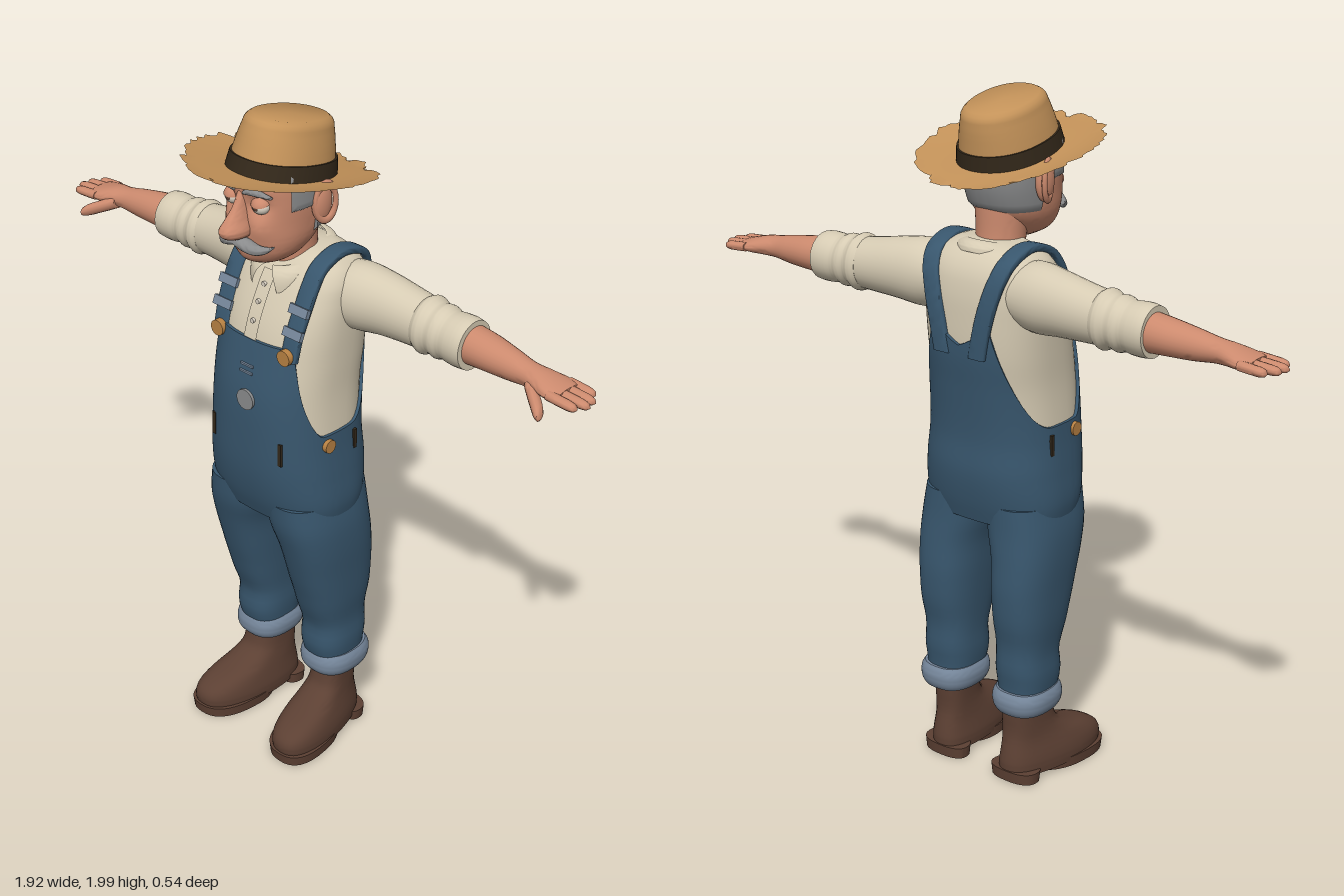
import * as THREE from 'three';
import { mergeVertices, toCreasedNormals } from 'three/addons/utils/BufferGeometryUtils.js';

const { lerp, clamp } = THREE.MathUtils;
const TAU = Math.PI * 2;
const V = (x, y, z) => new THREE.Vector3(x, y, z);
const spow = (v, e) => Math.sign(v) * Math.abs(v) ** e;
const mat = (name, color, side = THREE.FrontSide) => {
  const m = new THREE.MeshStandardMaterial({ color, side });
  m.name = name;
  return m;
};

// Smooth lookup in rows keyed on their first column
function table(rows) {
  const n = rows[0].length - 1;
  const it = new THREE.CubicInterpolant(rows.map(r => r[0]), rows.flatMap(r => r.slice(1)), n, new Float32Array(n));
  const lo = rows[0][0], hi = rows[rows.length - 1][0];
  return { lo, hi, at: s => Array.from(it.evaluate(clamp(s, lo, hi))) };
}

// Grid surface: f(u, j) gives a point, u runs 0..1 and j counts rows
function surf(nu, nv, f, warp) {
  const pos = [], idx = [];
  for (let j = 0; j <= nv; j++) for (let i = 0; i <= nu; i++) {
    const p = f(i / nu, j);
    if (warp) warp(p);
    pos.push(p.x, p.y, p.z);
  }
  for (let j = 0; j < nv; j++) for (let i = 0; i < nu; i++) {
    const a = j * (nu + 1) + i, b = a + 1, c = b + nu + 1, d = a + nu + 1;
    idx.push(a, b, c, a, c, d);
  }
  const g = new THREE.BufferGeometry();
  g.setAttribute('position', new THREE.Float32BufferAttribute(pos, 3));
  g.setIndex(idx);
  return toCreasedNormals(g, 0.9);
}

// Point on an upright body; rows are [y, xCentre, xRadius, zFront, zBack]
function ring(tb, y, a, off = 0, e = 0.8, k = 1) {
  const [xc, rx, zf, zb] = tb.at(y);
  return V(xc + k * (rx + off) * spow(Math.sin(a), e), y,
    (zf + zb) / 2 + k * ((zf - zb) / 2 + off) * spow(Math.cos(a), e));
}
function upright(rows, { seg = 40, n = 24, e = 0.8, warp } = {}) {
  const tb = table(rows);
  return surf(seg, n + 2, (u, j) => ring(tb, lerp(tb.lo, tb.hi, clamp((j - 1) / n, 0, 1)),
    u * TAU, 0, e, j === 0 || j === n + 2 ? 0 : 1), warp);
}
// Body along x; rows are [x, yCentre, yRadius, zCentre, zRadius]
function sideways(rows, { seg = 24, n = 16 } = {}) {
  const tb = table(rows);
  return surf(seg, n + 2, (u, j) => {
    const x = lerp(tb.lo, tb.hi, clamp((j - 1) / n, 0, 1));
    const [yc, ry, zc, rz] = tb.at(x), k = j === 0 || j === n + 2 ? 0 : 1, a = u * TAU;
    return V(x, yc - k * ry * Math.sin(a), zc + k * rz * Math.cos(a));
  });
}
// Copy on the other side of x = 0, with the corner order turned round
function mirrored(geo) {
  const g = geo.index ? geo.clone() : mergeVertices(geo.clone());
  g.scale(-1, 1, 1);
  const ix = g.index;
  for (let i = 0; i < ix.count; i += 3) {
    const t = ix.getX(i);
    ix.setX(i, ix.getX(i + 1));
    ix.setX(i + 1, t);
  }
  return g;
}

export function createModel() {
  const root = new THREE.Group();
  root.name = 'farmer';
  const M = {
    skin: mat('skin', 0xcc8a6e), shirt: mat('cream cloth', 0xd6cbb3, THREE.DoubleSide),
    denim: mat('denim', 0x38566d, THREE.DoubleSide), pale: mat('pale denim', 0x75869a),
    boot: mat('brown leather', 0x5c4033), straw: mat('straw', 0xc39259, THREE.DoubleSide),
    dark: mat('dark band', 0x33281a), grey: mat('grey hair', 0x8b8c8d, THREE.DoubleSide),
    brass: mat('brass', 0xb98243), white: mat('eye white', 0xded5c6),
  };
  const add = (name, geo, m, parent = root) => {
    const mesh = new THREE.Mesh(geo, m);
    mesh.name = name;
    parent.add(mesh);
  };
  const pair = (name, geo, m) => {
    add(name + 'Left', geo, m);
    add(name + 'Right', mirrored(geo), m);
  };
  const ball = (x, y, z, sx, sy, sz) => new THREE.SphereGeometry(1, 24, 16).scale(sx, sy, sz).translate(x, y, z);
  const disc = (r, h, x, y, z) => new THREE.CylinderGeometry(r, r, h, 24).rotateX(Math.PI / 2).translate(x, y, z);

  // Torso: shirt inside, overalls as an offset skin with a shaped top edge
  const torso = [[0.8, 0, 0.208, 0.1, -0.185], [0.86, 0, 0.216, 0.12, -0.2], [0.95, 0, 0.21, 0.137, -0.212],
    [1.05, 0, 0.2, 0.142, -0.208], [1.2, 0, 0.192, 0.138, -0.22], [1.3, 0, 0.194, 0.12, -0.232],
    [1.4, 0, 0.197, 0.095, -0.234], [1.48, 0, 0.197, 0.06, -0.23], [1.54, 0, 0.188, 0.025, -0.215],
    [1.58, 0, 0.15, -0.01, -0.185], [1.6, 0, 0.085, -0.03, -0.155]];
  const tb = table(torso);
  const zAt = (x, y, side = 1) => {
    const [, rx, zf, zb] = tb.at(y);
    return (zf + zb) / 2 + side * (zf - zb) / 2 * Math.max(0, 1 - Math.abs(x / rx) ** 2.5) ** 0.4;
  };
  add('shirtBody', upright(torso.slice(3), { seg: 56, n: 30 }), M.shirt);
  const topEdge = u => {
    const a = Math.PI - Math.abs(u * TAU - Math.PI);
    if (a < 0.66) return 1.36;
    if (a < 1.3) return 1.09 + 0.27 * Math.max(0, 1 - (a - 0.66) / 0.64) ** 1.5;
    if (a < 1.75) return 1.09;
    if (a < 2.75) return 1.09 + 0.3 * (a - 1.75) ** 2;
    return 1.39 - 0.06 * (a - 2.75) / (Math.PI - 2.75);
  };
  add('overallsBody', surf(120, 32, (u, j) => ring(tb, lerp(0.8, topEdge(u), clamp((j - 1) / 30, 0, 1)),
    u * TAU, j === 32 ? -0.004 : 0.009, 0.8, j === 0 ? 0 : 1)), M.denim);

  // Shoulder straps, swept over the shoulder
  const track = [[0.128, 1.33, 1], [0.13, 1.4, 1], [0.133, 1.47, 1], [0.133, 1.53, 1], [0.13, 1.57, 1], [0.128, 1.594, 0],
    [0.125, 1.57, -1], [0.115, 1.53, -1], [0.095, 1.46, -1], [0.075, 1.38, -1], [0.06, 1.3, -1]];
  const path = new THREE.CatmullRomCurve3(track.map(([x, y, s]) => V(x, y, s ? zAt(x, y, s) + s * 0.006 : -0.1)));
  pair('strap', surf(20, 50, (u, j) => {
    const t = j / 50, a = u * TAU, n = path.getTangent(t).cross(V(-1, 0, 0)).normalize();
    return path.getPoint(t).addScaledVector(n, 0.011 * spow(Math.cos(a), 0.4)).add(V(0.027 * spow(Math.sin(a), 0.4), 0, 0));
  }), M.denim);
  for (const y of [1.41, 1.47]) pair('strapSlider', new THREE.BoxGeometry(0.066, 0.026, 0.014)
    .rotateX(-0.4).translate(0.132, y, zAt(0.13, y) + 0.016), M.pale);
  pair('bibButton', disc(0.023, 0.018, 0.126, 1.345, zAt(0.126, 1.345) + 0.022), M.brass);
  pair('hipButton', new THREE.CylinderGeometry(0.02, 0.02, 0.014, 20).rotateZ(Math.PI / 2).translate(0.208, 1.06, 0.015), M.brass);
  pair('pocketSlit', new THREE.BoxGeometry(0.012, 0.07, 0.008).translate(0.128, 1.045, zAt(0.128, 1.045) + 0.011), M.dark);
  pair('sideSlit', new THREE.BoxGeometry(0.008, 0.06, 0.012).translate(0.207, 1.04, -0.09), M.dark);
  add('bibPatch', disc(0.031, 0.008, 0.018, 1.19, zAt(0, 1.19) + 0.011), M.grey);
  for (const y of [1.268, 1.288]) add('bibStitch', new THREE.BoxGeometry(0.045, 0.006, 0.008).translate(0.008, y, zAt(0, y) + 0.01), M.pale);

  // Shirt collar, placket and small buttons
  add('collar', surf(48, 10, (u, j) => {
    const t = j / 10, a = 0.12 + 0.3 * t + u * (TAU - 0.24 - 0.6 * t), f = (1 + Math.cos(a)) / 2;
    const r = 0.078 + 0.034 * Math.sin(t * 1.6);
    return V(r * Math.sin(a), 1.607 - 0.05 * f - t * t * (0.028 + 0.045 * f ** 3), -0.062 + (r + 0.017) * Math.cos(a));
  }), M.shirt);
  add('placket', surf(4, 12, (u, j) => {
    const y = 1.35 + 0.19 * j / 12, x = (u - 0.5) * 0.045;
    return V(x, y, zAt(x, y) + 0.007);
  }), M.shirt);
  for (const y of [1.41, 1.46, 1.505]) add('shirtButton', disc(0.007, 0.008, 0, y, zAt(0, y) + 0.01), M.white);

  // Sleeves with rolled cuffs, forearms and hands
  pair('sleeve', sideways([[0.1, 1.475, 0.08, -0.115, 0.085], [0.19, 1.473, 0.098, -0.125, 0.086], [0.28, 1.472, 0.089, -0.135, 0.077],
    [0.36, 1.467, 0.08, -0.139, 0.071], [0.44, 1.462, 0.072, -0.14, 0.067]], { seg: 32 }), M.shirt);
  pair('rolledCuff', sideways([[0.405, 1.463, 0.074, -0.14, 0.069], [0.425, 1.463, 0.084, -0.14, 0.077], [0.45, 1.462, 0.073, -0.14, 0.068],
    [0.475, 1.46, 0.077, -0.14, 0.071], [0.495, 1.459, 0.07, -0.14, 0.066], [0.52, 1.458, 0.072, -0.14, 0.069],
    [0.55, 1.458, 0.073, -0.14, 0.07], [0.572, 1.457, 0.07, -0.14, 0.068]], { seg: 32, n: 30 }), M.shirt);
  pair('forearm', sideways([[0.54, 1.458, 0.057, -0.143, 0.056], [0.62, 1.455, 0.05, -0.143, 0.053], [0.7, 1.45, 0.042, -0.14, 0.043],
    [0.76, 1.447, 0.033, -0.137, 0.037], [0.8, 1.445, 0.029, -0.137, 0.045], [0.84, 1.441, 0.023, -0.138, 0.056],
    [0.88, 1.438, 0.015, -0.139, 0.054]], { n: 24 }), M.skin);
  const finger = (x0, y0, z0, x1, y1, z1, r) => sideways([[0, 1], [0.5, 1], [0.85, 0.85], [0.96, 0.5], [1, 0.1]].map(([t, k]) =>
    [lerp(x0, x1, t), lerp(y0, y1, t), r * k, lerp(z0, z1, t), r * k * 1.1]), { seg: 12, n: 12 });
  [[-0.184, 0.932], [-0.154, 0.955], [-0.124, 0.96], [-0.094, 0.942]].forEach(([z, x]) =>
    pair('finger', finger(0.85, 1.44, z, x, 1.434, z, 0.0135), M.skin));
  pair('thumb', finger(0.775, 1.437, -0.115, 0.868, 1.397, -0.045, 0.02), M.skin);

  // Trouser legs, turn-ups and boots
  pair('leg', upright([[0.26, 0.132, 0.072, -0.015, -0.185], [0.34, 0.132, 0.08, 0.0, -0.195], [0.4, 0.131, 0.077, 0.0, -0.193],
    [0.5, 0.133, 0.086, 0.033, -0.207], [0.6, 0.132, 0.093, 0.062, -0.214], [0.7, 0.13, 0.1, 0.09, -0.207],
    [0.78, 0.118, 0.109, 0.112, -0.2], [0.86, 0.108, 0.104, 0.12, -0.198]],
  { warp: p => { p.z += 0.006 * Math.sin(p.y * 45) * Math.max(0, 1 - p.y * 1.6); } }), M.denim);
  pair('turnUp', upright([[0.222, 0.134, 0.078, -0.012, -0.196], [0.235, 0.134, 0.085, -0.003, -0.204],
    [0.275, 0.134, 0.087, -0.003, -0.206], [0.292, 0.134, 0.078, -0.012, -0.196]], { n: 10 }), M.pale);
  // Toes turn out and heels narrow
  const splay = p => {
    p.x += 0.12 * (p.z + 0.1);
    p.x -= (p.x - 0.13) * 0.1 * clamp(-p.z * 8, 0, 1);
  };
  pair('boot', upright([[0.018, 0.134, 0.08, 0.163, -0.19], [0.05, 0.134, 0.082, 0.17, -0.192], [0.08, 0.134, 0.078, 0.158, -0.188],
    [0.105, 0.133, 0.072, 0.118, -0.183], [0.13, 0.132, 0.066, 0.05, -0.178], [0.16, 0.132, 0.062, -0.005, -0.176],
    [0.2, 0.132, 0.061, -0.025, -0.178], [0.24, 0.132, 0.062, -0.03, -0.18]], { n: 28, warp: splay }), M.boot);
  const slab = (zf, zb, y) => upright([[0, 0.134, 0.082, zf, zb], [y, 0.134, 0.085, zf + 0.004, zb - 0.003]], { n: 2, warp: splay });
  pair('sole', slab(0.17, -0.085, 0.032), M.boot);
  pair('heel', slab(-0.11, -0.192, 0.034), M.boot);

  // Neck and head, with eye sockets and cheeks shaped by a rule
  add('neck', upright([[1.5, 0, 0.075, 0.0, -0.14], [1.58, 0, 0.07, 0.012, -0.122], [1.7, 0, 0.08, 0.03, -0.118]], { e: 1 }), M.skin);
  const headRows = [[1.585, 0, 0.035, 0.085, 0.0], [1.6, 0, 0.066, 0.112, -0.03], [1.625, 0, 0.092, 0.13, -0.065], [1.66, 0, 0.109, 0.14, -0.1],
    [1.72, 0, 0.118, 0.14, -0.128], [1.78, 0, 0.122, 0.146, -0.14], [1.84, 0, 0.12, 0.146, -0.14], [1.9, 0, 0.105, 0.12, -0.13]];
  const bump = (p, x, y, r) => Math.exp(-((Math.abs(p.x) - x) ** 2 + (p.y - y) ** 2) / (r * r));
  add('head', upright(headRows, { seg: 72, n: 40, e: 0.9, warp: p => {
    if (p.z > 0.03) p.z += 0.012 * bump(p, 0.06, 1.71, 0.035) - 0.02 * bump(p, 0.05, 1.775, 0.028) + 0.008 * bump(p, 0, 1.61, 0.03);
  } }), M.skin);
  add('nose', upright([[1.678, 0, 0.014, 0.178, 0.1], [1.69, 0, 0.031, 0.205, 0.1], [1.708, 0, 0.035, 0.217, 0.1], [1.73, 0, 0.026, 0.203, 0.1],
    [1.765, 0, 0.017, 0.173, 0.1], [1.81, 0, 0.014, 0.148, 0.1]], { seg: 28, e: 1 }), M.skin);
  pair('eye', ball(0.05, 1.773, 0.117, 0.026, 0.023, 0.025), M.white);
  pair('iris', ball(0.05, 1.773, 0.1395, 0.009, 0.009, 0.004), M.boot);
  pair('upperLid', new THREE.SphereGeometry(0.029, 20, 8, 0, TAU, 0, 1.25).rotateX(0.25).translate(0.05, 1.773, 0.116), M.skin);
  pair('eyebrow', sideways([[0.018, 1.812, 0.006, 0.148, 0.008], [0.05, 1.82, 0.01, 0.146, 0.01], [0.09, 1.807, 0.004, 0.122, 0.007]], { seg: 12 }), M.grey);
  pair('moustache', sideways([[0, 1.672, 0.012, 0.158, 0.02], [0.03, 1.668, 0.018, 0.157, 0.021], [0.06, 1.657, 0.014, 0.145, 0.018],
    [0.08, 1.657, 0.009, 0.128, 0.013], [0.093, 1.665, 0.003, 0.117, 0.005]], { seg: 16 }), M.grey);
  add('mouth', ball(0, 1.642, 0.134, 0.036, 0.005, 0.008), M.boot);
  pair('ear', ball(0.13, 1.762, -0.028, 0.02, 0.058, 0.034), M.skin);
  pair('earRim', new THREE.TorusGeometry(0.03, 0.008, 8, 24).scale(1, 1.7, 1).rotateY(1.25).translate(0.142, 1.765, -0.03), M.skin);
  const headTb = table(headRows);
  add('hair', surf(64, 14, (u, j) => {
    const s = Math.min(u, 1 - u), low = s < 0.12 ? 1.755 : Math.max(1.672, 1.755 - (s - 0.12) * 1.6);
    return ring(headTb, lerp(low, 1.86, j / 14), 1.12 + u * (TAU - 2.24), j === 0 ? -0.002 : 0.007, 0.9);
  }), M.grey);

  // Straw hat, tipped up at the front, with a frayed brim
  const hat = new THREE.Group();
  hat.name = 'hat';
  hat.position.set(0, 1.823, 0);
  hat.rotation.x = -0.195;
  root.add(hat);
  const crown = [[0, 0, 0.128, 0.146, -0.166], [0.06, 0, 0.118, 0.136, -0.159], [0.12, 0, 0.103, 0.123, -0.15],
    [0.142, 0, 0.096, 0.114, -0.143], [0.152, 0, 0.085, 0.1, -0.13]];
  add('crown', upright(crown, { seg: 56, n: 20, e: 0.92 }), M.straw, hat);
  const crownTb = table(crown);
  add('hatBand', surf(56, 3, (u, j) => ring(crownTb, j < 2 ? 0.004 : 0.046, u * TAU, j % 3 ? 0.005 : -0.002, 0.92)), M.dark, hat);
  let seed = 7;
  const rnd = () => (seed = (seed * 16807) % 2147483647) / 2147483647;
  const fray = Array.from({ length: 96 }, () => rnd() * 0.018 - (rnd() > 0.8 ? 0.014 : 0));
  add('brim', surf(96, 8, (u, j) => {
    const t = j / 8, a = u * TAU, k = j === 8 ? fray[Math.round(u * 96) % 96] : 0;
    return V((lerp(0.115, 0.238, t) + k) * Math.sin(a), 0.022 * t * t * Math.sin(a) ** 2 + 0.004 * (1 - t) + k * 0.3,
      (lerp(0.14, 0.264, t) + k) * Math.cos(a) - 0.004);
  }), M.straw, hat);
  return root;
}
